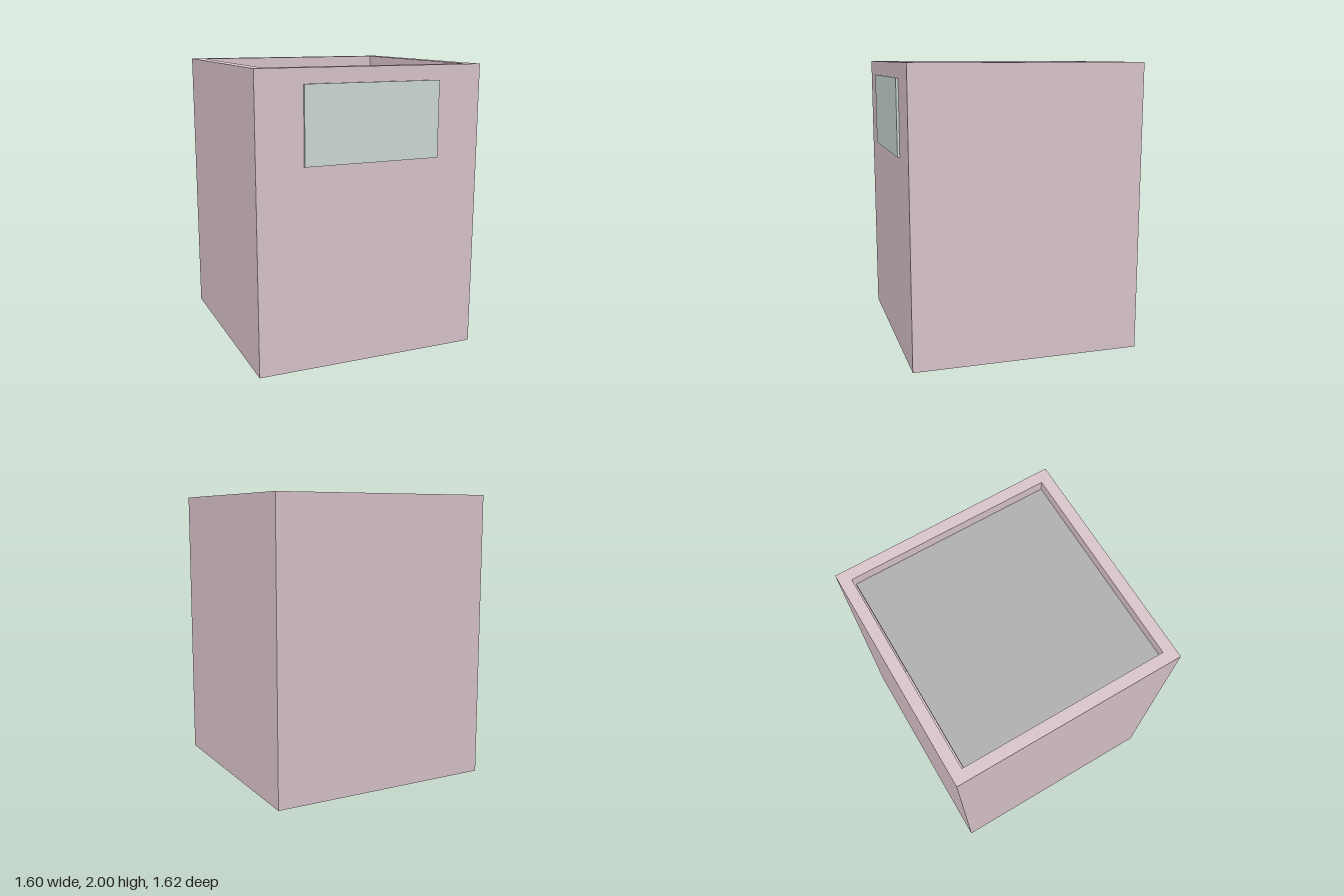
import * as THREE from 'three';

const W = 1.6, H = 2, T = 0.08, PANEL = 0.016;

export function createModel() {
  const group = new THREE.Group();
  const pink = new THREE.MeshStandardMaterial({ color: 0xdcc6ce });
  const grey = new THREE.MeshStandardMaterial({ color: 0xb2b2b2 });
  const mint = new THREE.MeshStandardMaterial({ color: 0xd0dcd9 });

  const add = (name, geometry, material, x, y, z) => {
    const mesh = new THREE.Mesh(geometry, material);
    mesh.name = name;
    mesh.position.set(x, y, z);
    group.add(mesh);
  };

  // Square outline, counter-clockwise
  const square = (Kind, r) => {
    const s = new Kind();
    s.moveTo(-r, -r).lineTo(r, -r).lineTo(r, r).lineTo(-r, r).closePath();
    return s;
  };

  // Walls: hollow square tube standing upright
  const outline = square(THREE.Shape, W / 2);
  outline.holes.push(square(THREE.Path, W / 2 - T));
  const walls = new THREE.ExtrudeGeometry(outline, { depth: H, bevelEnabled: false });
  walls.rotateX(-Math.PI / 2);
  const zBody = -PANEL / 2;
  add('walls', walls, pink, 0, 0, zBody);

  // Floor closing the bottom
  const inner = W - 2 * T;
  add('floor', new THREE.BoxGeometry(inner, T, inner), pink, 0, T / 2, zBody);

  // Recessed lid, leaving a narrow gap at the back
  add('lid', new THREE.BoxGeometry(inner, 0.04, inner - PANEL), grey, 0, 1.9, 0);

  // Thin panel on the front
  add('frontPanel', new THREE.BoxGeometry(0.96, 0.52, PANEL), mint, 0, 1.64, W / 2);

  return group;
}
